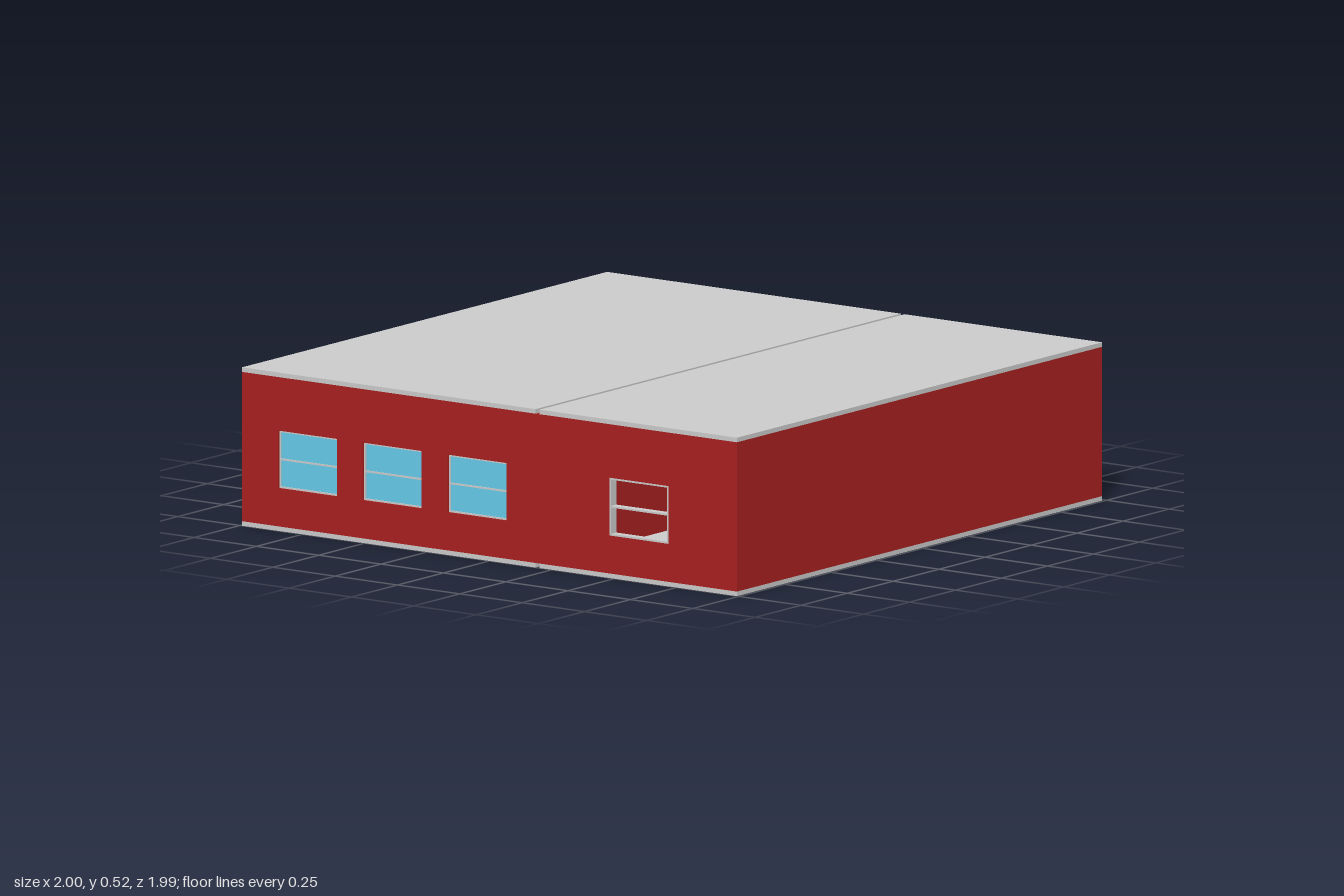
import * as THREE from 'three';

const red = new THREE.MeshStandardMaterial({ color: 0xaa2020 });
const grey = new THREE.MeshStandardMaterial({ color: 0xcccccc });
const blue = new THREE.MeshStandardMaterial({ color: 0x66cbea });

const CX = -0.0075;          // centre of the building in x
const H = 0.9925;            // half side of the square plan
const SLAB = 0.015, TOP = 0.521;
const T = 0.025;             // wall thickness
const Y0 = SLAB, Y1 = TOP - SLAB;
const SPLIT = 0.193, GAP = 0.015;

function box(name, mat, w, h, d, x, y, z) {
  const m = new THREE.Mesh(new THREE.BoxGeometry(w, h, d), mat);
  m.name = name;
  m.position.set(x, y, z);
  return m;
}

// Window frame with a middle bar; glazed unless open. z is the outer face.
function makeWindow({ u0, u1, v0, v1, open, z }) {
  const g = new THREE.Group();
  g.name = open ? 'openWindow' : 'window';
  const b = 0.006, d = open ? 0.028 : 0.01;
  const u = (u0 + u1) / 2, v = (v0 + v1) / 2, w = u1 - u0, h = v1 - v0, c = z - d / 2;
  for (const s of [-1, 1]) {
    g.add(box('frameRail', grey, w, b, d, u, v + s * (h - b) / 2, c));
    g.add(box('frameStile', grey, b, h - 2 * b, d, u + s * (w - b) / 2, v, c));
  }
  g.add(box('middleBar', grey, w - 2 * b, b, d, u, v, c));
  if (!open) g.add(box('glass', blue, w - 2 * b, h - 2 * b, 0.004, u, v, c));
  return g;
}

// Wall in its own plane: u along it, v up, outer face at local z = 0
function makeWall(name, half, windows = [], door = null) {
  const g = new THREE.Group();
  g.name = name;
  const s = new THREE.Shape();
  s.moveTo(-half, Y0);
  if (door) {
    s.lineTo(door.u0, Y0);
    s.lineTo(door.u0, door.v1);
    s.lineTo(door.u1, door.v1);
    s.lineTo(door.u1, Y0);
  }
  s.lineTo(half, Y0);
  s.lineTo(half, Y1);
  s.lineTo(-half, Y1);
  s.closePath();
  for (const { u0, u1, v0, v1 } of windows) {
    const p = new THREE.Path();
    p.moveTo(u0, v0);
    p.lineTo(u0, v1);
    p.lineTo(u1, v1);
    p.lineTo(u1, v0);
    p.closePath();
    s.holes.push(p);
  }
  const geo = new THREE.ExtrudeGeometry(s, { depth: T, bevelEnabled: false });
  geo.translate(0, 0, -T);
  const m = new THREE.Mesh(geo, red);
  m.name = name + 'Panel';
  g.add(m);
  windows.forEach((w) => g.add(makeWindow(w)));
  return g;
}

export function createModel() {
  const model = new THREE.Group();
  model.name = 'building';

  // Floor and roof, each in two slabs with a gap over the partition
  const spans = [[-H, SPLIT - GAP / 2], [SPLIT + GAP / 2, H]];
  for (const [a, b] of spans) {
    model.add(box('floorSlab', grey, 2 * H, SLAB, b - a, CX, SLAB / 2, (a + b) / 2));
    model.add(box('roofSlab', grey, 2 * H, SLAB, b - a, CX, TOP - SLAB / 2, (a + b) / 2));
  }

  // Partition between the two rooms
  model.add(box('partition', red, 2 * (H - T), Y1 - Y0, GAP + 0.01, CX, (Y0 + Y1) / 2, SPLIT));

  // Front wall
  const front = makeWall('frontWall', H);
  front.position.set(CX, 0, H);
  model.add(front);

  // Back wall with a doorway between two windows
  const backWindows = [-1, 1].map((s) => ({
    u0: s * 0.618 - 0.163, u1: s * 0.618 + 0.163, v0: 0.11, v1: 0.305, z: -0.01,
  }));
  const back = makeWall('backWall', H, backWindows, { u0: -0.2, u1: 0.2, v1: 0.333 });
  back.position.set(CX, 0, -H);
  back.rotation.y = Math.PI;
  model.add(back);

  // Side walls: three glazed windows and one open window each
  const zCentres = [0.6, -0.05, -0.39, -0.73];
  for (const s of [1, -1]) {
    const windows = zCentres.map((z, i) => ({
      u0: -s * z - 0.118, u1: -s * z + 0.118, v0: 0.14, v1: 0.33,
      open: i === 0, z: i > 0 ? -0.008 : s > 0 ? 0.015 : 0,
    }));
    const side = makeWall(s > 0 ? 'leftWall' : 'rightWall', H - T, windows);
    side.position.set(CX + s * H, 0, 0);
    side.rotation.y = s * Math.PI / 2;
    model.add(side);
  }
  return model;
}
